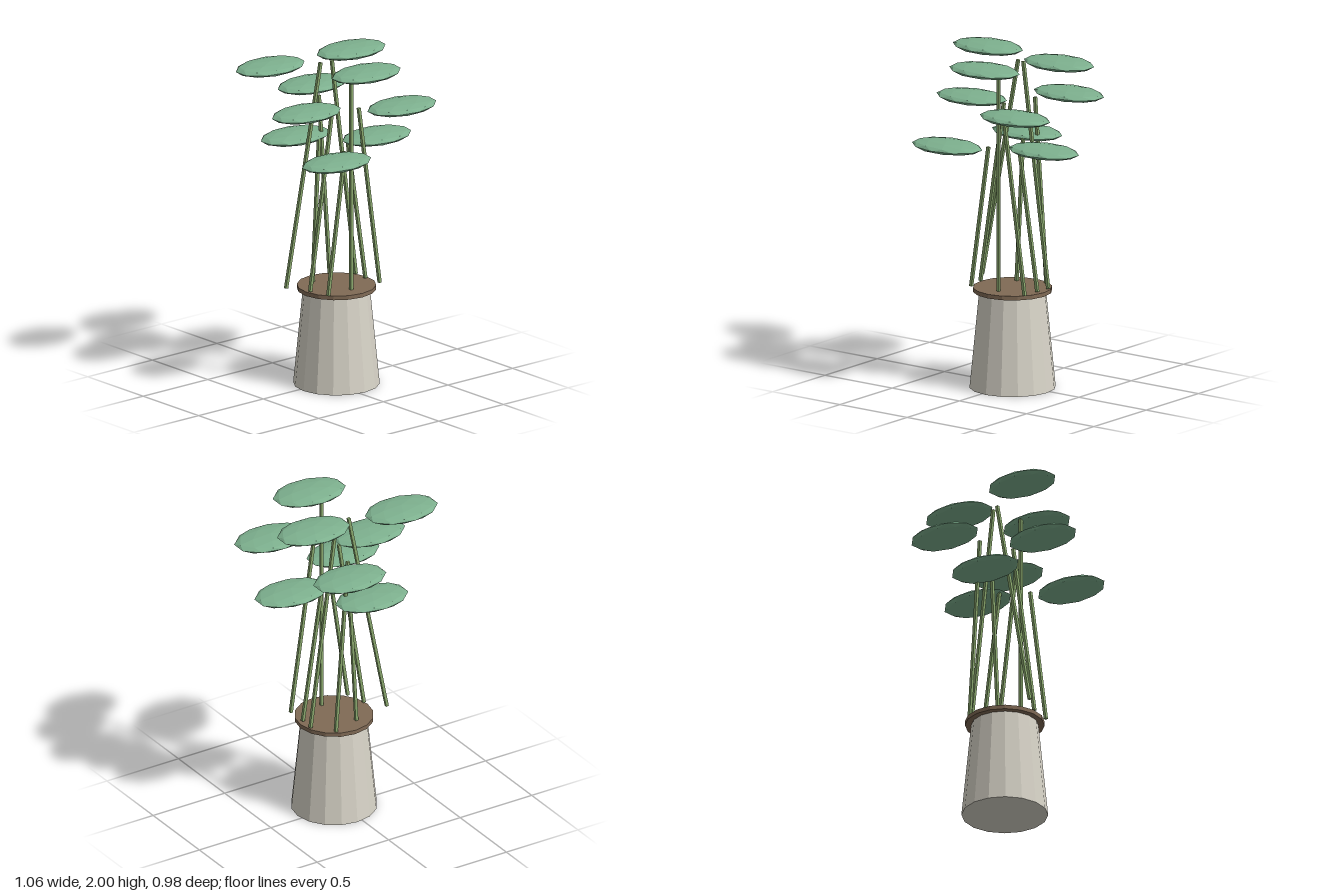
import * as THREE from 'three';

const mat = (name, color) => {
  const m = new THREE.MeshStandardMaterial({ color, flatShading: true });
  m.name = name;
  return m;
};

export function createModel() {
  const group = new THREE.Group();
  group.name = 'pottedPlant';
  const potMat = mat('stone', 0xd8d4c8);
  const soilMat = mat('soil', 0x806a55);
  const stemMat = mat('stem green', 0x8aa86e);
  const leafMat = mat('leaf green', 0x7db08e);

  const add = (name, geometry, material, x, y, z) => {
    const mesh = new THREE.Mesh(geometry, material);
    mesh.name = name;
    mesh.position.set(x, y, z);
    group.add(mesh);
    return mesh;
  };

  // Pot narrows upward and carries an overhanging soil disc
  const cx = 0.035, cz = 0.037, soilTop = 0.605;
  add('pot', new THREE.CylinderGeometry(0.197, 0.255, 0.59, 16), potMat, cx, 0.295, cz);
  add('soil', new THREE.CylinderGeometry(0.234, 0.234, 0.025, 16), soilMat, cx, 0.5925, cz);

  // Leaf: faceted ball with a vertex on top, flattened into an oval pad
  const leafGeo = new THREE.IcosahedronGeometry(1, 1);
  leafGeo.rotateX(-Math.atan((1 + Math.sqrt(5)) / 2));
  leafGeo.rotateY(Math.PI / 2);
  leafGeo.scale(0.236, 0.033, 0.155);
  leafGeo.computeVertexNormals();

  // Three tiers of three leaves: height, then [x, z] of each leaf
  const tiers = [
    [1.476, [[-0.22, 0.335], [0.305, 0.085], [-0.06, -0.225]]],
    [1.722, [[-0.235, 0.08], [0.285, 0.335], [0.165, -0.335]]],
    [1.967, [[0.035, 0.305], [0.27, -0.105], [-0.305, -0.165]]],
  ];
  for (const [y, spots] of tiers) {
    for (const [x, z] of spots) {
      add('leaf', leafGeo, leafMat, x, y, z);
      // Stem stands halfway out to its leaf and leans back toward the middle
      const dx = x - cx, dz = z - cz, height = y - soilTop;
      const stem = add('stem', new THREE.BoxGeometry(0.018, height, 0.018), stemMat,
        cx + dx / 2, soilTop + height / 2, cz + dz / 2);
      stem.rotation.z = dx * 0.58;
    }
  }
  return group;
}
